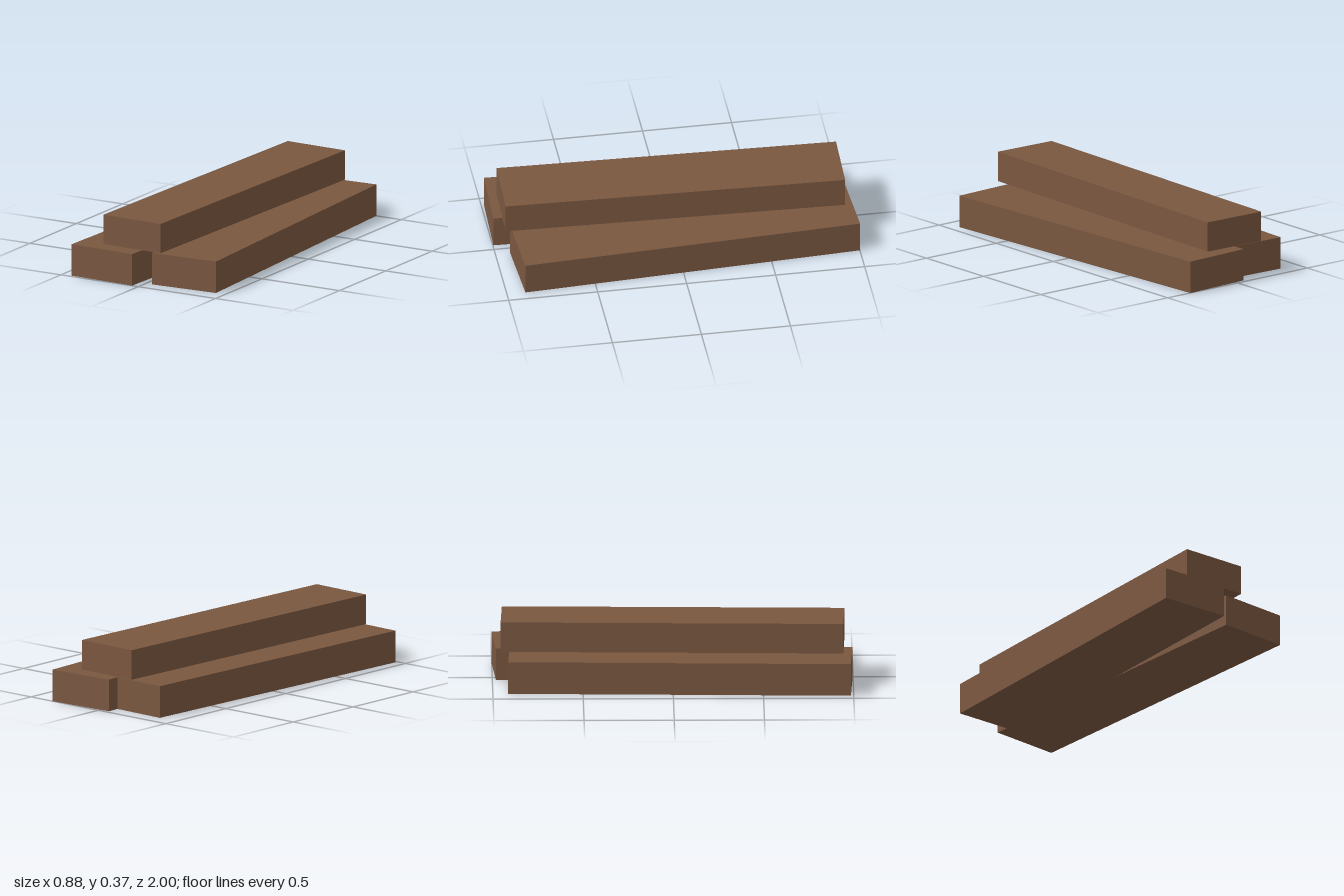
import * as THREE from 'three';

export function createModel() {
  const group = new THREE.Group();
  const wood = new THREE.MeshStandardMaterial({ color: 0x7a5740 });
  wood.name = 'brownWood';

  // A plank resting at height y, turned slightly about the vertical axis
  function plank(name, width, height, x, y, z, turn) {
    const mesh = new THREE.Mesh(new THREE.BoxGeometry(width, height, 1.9), wood);
    mesh.name = name;
    mesh.position.set(x, y + height / 2, z);
    mesh.rotation.y = turn;
    group.add(mesh);
  }

  // Two lower planks, splayed towards the front
  plank('lowerRightPlank', 0.4, 0.18, -0.21, 0, 0.041, -0.032);
  plank('lowerLeftPlank', 0.4, 0.18, 0.19, 0, -0.042, 0.053);
  // Upper plank lying across the gap
  plank('upperPlank', 0.376, 0.168, -0.045, 0.197, -0.001, -0.028);

  return group;
}
